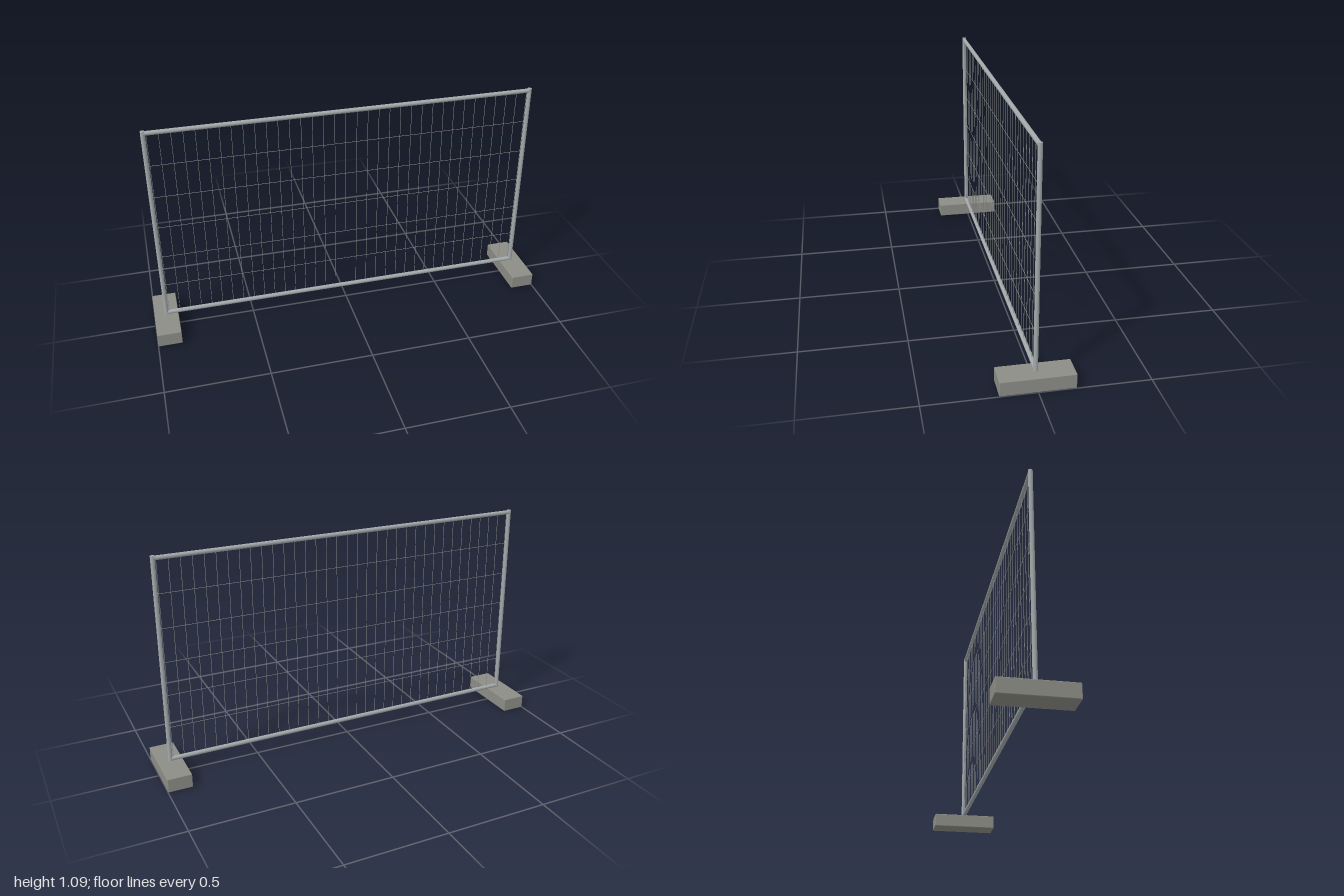
import * as THREE from 'three';
import { RoundedBoxGeometry } from 'three/addons/geometries/RoundedBoxGeometry.js';

const steel = new THREE.MeshStandardMaterial({ color: 0xa3a9ab });
const wireSteel = new THREE.MeshStandardMaterial({ color: 0x8c8f8c });
const concrete = new THREE.MeshStandardMaterial({ color: 0x8d8d87 });

const HALF_W = 0.939;  // post centre line
const LOW = 0.0775;    // bottom rail centre line
const HIGH = 1.0765;   // top rail centre line
const TUBE = 0.0107;
const WIRE = 0.0012;

// Straight round bar, upright or lying along x
function bar(name, radius, length, x, y, sides, material, alongX = false) {
  const geometry = new THREE.CylinderGeometry(radius, radius, length, sides);
  if (alongX) geometry.rotateZ(Math.PI / 2);
  const mesh = new THREE.Mesh(geometry, material);
  mesh.name = name;
  mesh.position.set(x, y, 0);
  return mesh;
}

export function createModel() {
  const model = new THREE.Group();
  model.name = 'fencePanel';

  // Tubular frame: two posts socketed in the feet, two rails
  const frame = new THREE.Group();
  frame.name = 'frame';
  const top = HIGH + TUBE;
  const foot = 0.02;
  for (const [side, s] of [['left', 1], ['right', -1]]) {
    frame.add(bar(side + 'Post', TUBE, top - foot, s * HALF_W, (top + foot) / 2, 12, steel));
  }
  frame.add(bar('topRail', TUBE, HALF_W * 2, 0, HIGH, 12, steel, true));
  frame.add(bar('bottomRail', TUBE, HALF_W * 2, 0, LOW, 12, steel, true));
  model.add(frame);

  // Welded mesh infill
  const mesh = new THREE.Group();
  mesh.name = 'wireMesh';
  for (let i = -17; i <= 17; i++) {
    mesh.add(bar('verticalWire', WIRE, HIGH - LOW, i * 0.0544, (HIGH + LOW) / 2, 6, wireSteel));
  }
  for (let i = 1; i <= 5; i++) {
    const y = LOW + (HIGH - LOW) * i / 6;
    mesh.add(bar('horizontalWire', WIRE, HALF_W * 2, 0, y, 6, wireSteel, true));
  }
  model.add(mesh);

  // Block feet with softened edges
  for (const [side, s] of [['left', 1], ['right', -1]]) {
    const block = new THREE.Mesh(new RoundedBoxGeometry(0.119, 0.0695, 0.336, 2, 0.004), concrete);
    block.name = side + 'Foot';
    block.position.set(s * 0.9405, 0.03475, 0);
    model.add(block);
  }
  return model;
}
